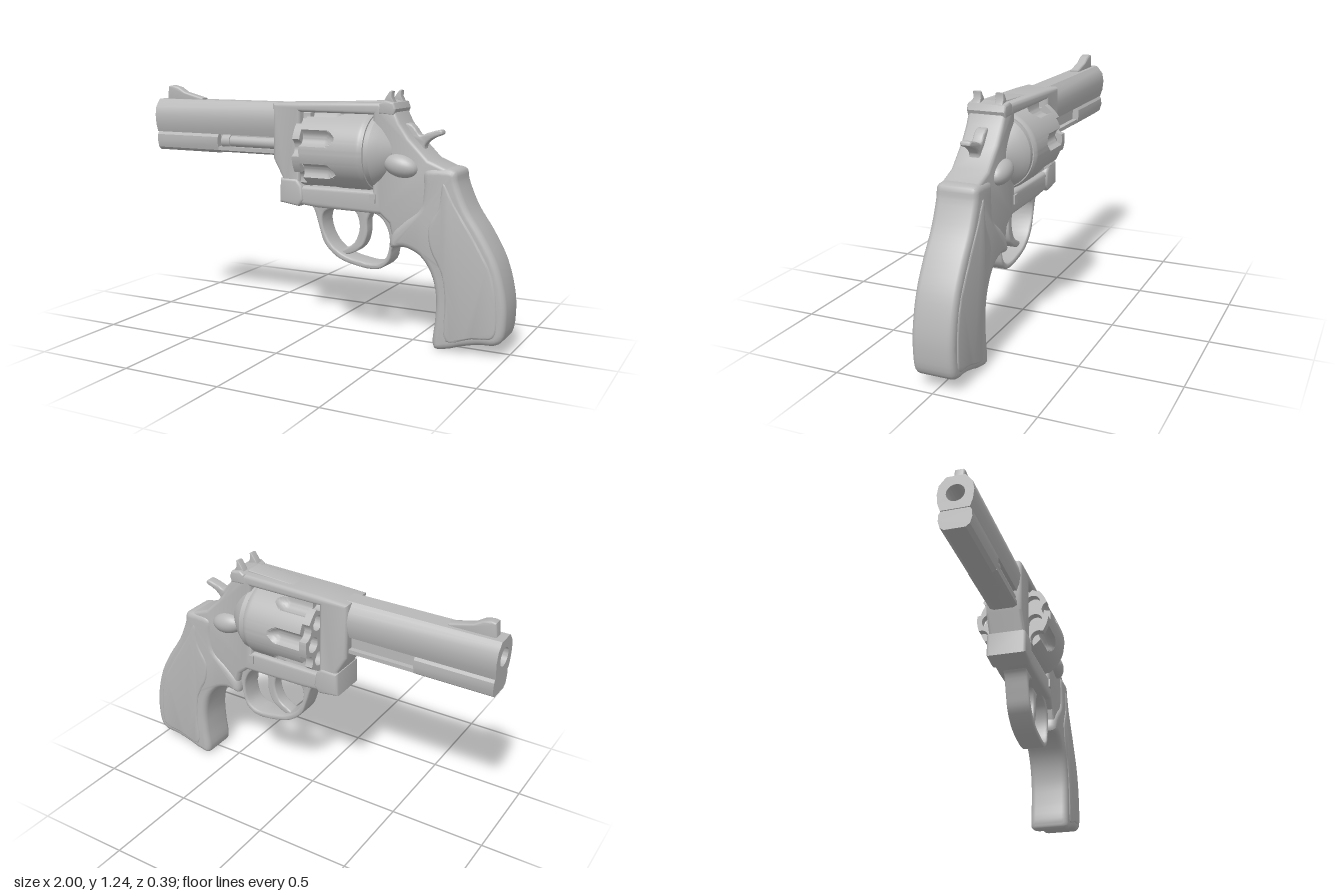
import * as THREE from 'three';
import { toCreasedNormals } from 'three/addons/utils/BufferGeometryUtils.js';

const steel = new THREE.MeshStandardMaterial({ color: 0xb8b8b8, side: THREE.DoubleSide });
steel.name = 'steel grey';

const vec = (pts) => pts.map(([x, y]) => new THREE.Vector2(x, y));

// Closed outline, optionally smoothed by a spline
function outline(pts, smooth, Type = THREE.Shape) {
  const v = vec(pts);
  if (!smooth) return new Type(v);
  const curve = new THREE.CatmullRomCurve3(v.map((p) => new THREE.Vector3(p.x, p.y, 0)), true, 'centripetal');
  return new Type(curve.getPoints(pts.length * 4).slice(0, -1).map((p) => new THREE.Vector2(p.x, p.y)));
}

// Side profile in x-y, thickened evenly about z = 0 with rounded edges
function slab(shape, half, bevel, segments = 3) {
  const geo = new THREE.ExtrudeGeometry(shape, {
    depth: 2 * (half - bevel), bevelEnabled: bevel > 0, bevelThickness: bevel,
    bevelSize: bevel, bevelOffset: -bevel, bevelSegments: segments, curveSegments: 20,
  });
  geo.translate(0, 0, bevel - half);
  return toCreasedNormals(geo, 0.6);
}

// Cross-section drawn as (z, y), swept along x from x0 to x1
function bar(shape, x0, x1) {
  const geo = new THREE.ExtrudeGeometry(shape, { depth: x1 - x0, bevelEnabled: false, curveSegments: 20 });
  geo.rotateY(Math.PI / 2).translate(x0, 0, 0);
  return toCreasedNormals(geo, 0.5);
}

// Half cross-section mirrored to both sides
const mirrored = (half) => [...half, ...half.slice().reverse().map(([z, y]) => [-z, y])];

function circleHole(x, y, r) {
  const p = new THREE.Path();
  p.absarc(x, y, r, 0, Math.PI * 2, true);
  return p;
}

export function createModel() {
  const model = new THREE.Group();
  const add = (name, geo, x = 0, y = 0, z = 0) => {
    const m = new THREE.Mesh(geo, steel);
    m.name = name;
    m.position.set(x, y, z);
    model.add(m);
    return m;
  };

  // Barrel with bore, and the lug below it
  const barrel = outline(mirrored([[0.07, 0.99], [0.083, 1.03], [0.088, 1.08], [0.08, 1.125], [0.06, 1.15], [0.045, 1.167]]));
  barrel.holes.push(circleHole(0, 1.075, 0.045));
  add('barrel', bar(barrel, -1, -0.2));
  const lug = mirrored([[0.05, 0.89], [0.07, 0.905], [0.08, 0.94], [0.078, 0.975], [0.062, 1.0]]);
  add('barrelLug', bar(outline(lug), -0.995, -0.6));
  add('lugStrip', bar(outline(mirrored([[0.05, 0.895], [0.072, 0.905], [0.072, 0.925]])), -0.6, -0.22));
  add('lugCore', new THREE.BoxGeometry(0.4, 0.11, 0.09), -0.41, 0.95);
  add('ejectorRod', new THREE.CylinderGeometry(0.03, 0.03, 0.32, 20).rotateZ(Math.PI / 2), -0.4, 0.953, 0.035);
  add('ejectorTip', new THREE.CylinderGeometry(0.036, 0.036, 0.05, 20).rotateZ(Math.PI / 2), -0.56, 0.953, 0.035);

  // Front sight ramp
  add('frontSight', slab(outline([[-0.965, 1.15], [-0.955, 1.235], [-0.93, 1.24], [-0.89, 1.23],
    [-0.85, 1.205], [-0.73, 1.175], [-0.73, 1.15]]), 0.025, 0.008));

  // Frame with the cylinder window
  const frame = outline([[-0.25, 1.165], [-0.1, 1.172], [0.34, 1.182], [0.42, 1.15], [0.45, 1.09], [0.5, 1.02],
    [0.6, 0.92], [0.7, 0.88], [0.7, 0.6], [0.52, 0.5], [0.42, 0.52], [0.4, 0.6], [0.35, 0.64], [0.0, 0.645],
    [-0.2, 0.665], [-0.2, 0.79], [-0.25, 0.88]]);
  frame.holes.push(outline([[-0.095, 0.75], [0.31, 0.75], [0.31, 1.125], [-0.095, 1.125]], false, THREE.Path));
  add('frame', slab(frame, 0.095, 0.018));
  add('crane', slab(outline([[-0.21, 0.66], [-0.1, 0.645], [-0.07, 0.68], [-0.08, 0.75], [-0.11, 0.785],
    [-0.205, 0.785]]), 0.103, 0.015));
  add('cylinderStop', new THREE.BoxGeometry(0.03, 0.045, 0.205), 0.315, 0.715);

  // Fluted cylinder
  const R = 0.194, axisY = 0.938, count = 7, step = (Math.PI * 2) / count, phase = 0.36;
  const fluteRadius = (angle, x) => {
    const d = Math.abs(((angle - phase) / step) - Math.round((angle - phase) / step)) * step;
    const end = THREE.MathUtils.clamp((0.14 - x) / 0.05, 0, 1);
    const width = 0.22 * Math.sqrt(end);
    return d < width ? R - 0.036 * Math.sqrt(1 - (d / width) ** 2) * Math.sqrt(end) : R;
  };
  const x0 = -0.085, plate = 0.04, x1 = 0.295;
  const drum = new THREE.CylinderGeometry(R, R, x1 - x0 - plate, 140, 36).rotateZ(Math.PI / 2);
  drum.translate((x0 + plate + x1) / 2, 0, 0);
  const p = drum.attributes.position;
  for (let i = 0; i < p.count; i++) {
    const y = p.getY(i), z = p.getZ(i), x = p.getX(i);
    if (Math.hypot(y, z) < 0.01) continue;
    const a = Math.atan2(y, z), r = fluteRadius(a, x) - Math.max(0, x - 0.275) * 0.5;
    p.setXYZ(i, x, r * Math.sin(a), r * Math.cos(a));
  }
  add('cylinder', toCreasedNormals(drum, 0.6), 0, axisY);

  // Front of the cylinder with open chambers
  const face = [];
  for (let i = 0; i < 140; i++) {
    const a = (i / 140) * Math.PI * 2, r = fluteRadius(a, x0);
    face.push([r * Math.cos(a), r * Math.sin(a)]);
  }
  const faceShape = outline(face);
  for (let i = 0; i < count; i++) {
    const a = phase + (i + 0.5) * step;
    faceShape.holes.push(circleHole(0.128 * Math.cos(a), 0.128 * Math.sin(a), 0.04));
  }
  add('cylinderFace', bar(faceShape, x0, x0 + plate), 0, axisY);
  add('cylinderPin', new THREE.CylinderGeometry(0.05, 0.05, 0.06, 24).rotateZ(Math.PI / 2), -0.09, axisY);

  // Recoil shield tapering into the frame
  const shield = new THREE.LatheGeometry(vec([[0, 0], [0.18, 0], [0.18, 0.025], [0.155, 0.06], [0.1, 0.115], [0, 0.13]]), 48);
  add('recoilShield', toCreasedNormals(shield.rotateZ(-Math.PI / 2), 0.6), 0.298, axisY);

  // Rear sight, its base strip and two ears
  add('sightStrip', slab(outline([[-0.1, 1.16], [0.1, 1.178], [0.35, 1.19], [0.35, 1.16]]), 0.05, 0.004));
  add('rearSightBase', slab(outline([[0.34, 1.13], [0.345, 1.18], [0.37, 1.195], [0.42, 1.185], [0.432, 1.155],
    [0.42, 1.125]]), 0.098, 0.01));
  for (const s of [-1, 1]) {
    add('rearSightEar', slab(outline([[0.355, 1.18], [0.37, 1.21], [0.392, 1.24], [0.402, 1.238], [0.4, 1.21],
      [0.415, 1.18]]), 0.02, 0.004), 0, 0, s * 0.057);
  }

  // Hammer with its spur
  add('hammer', slab(outline([[0.43, 1.0], [0.44, 1.075], [0.47, 1.085], [0.5, 1.065], [0.53, 1.03], [0.57, 1.043],
    [0.635, 1.057], [0.642, 1.04], [0.59, 1.015], [0.555, 0.98], [0.56, 0.92], [0.5, 0.9]], true), 0.027, 0.008));

  // Thumb latch on each side
  for (const s of [-1, 1]) {
    const latch = add('thumbLatch', new THREE.SphereGeometry(1, 24, 16), 0.46, 0.885, s * 0.09);
    latch.scale.set(0.09, 0.055, 0.052);
    latch.rotation.z = -0.2;
  }

  // Trigger guard and trigger
  const guard = outline([[-0.06, 0.67], [-0.03, 0.63], [0.0, 0.54], [0.03, 0.46], [0.1, 0.395], [0.2, 0.362],
    [0.33, 0.355], [0.39, 0.4], [0.415, 0.48], [0.5, 0.5], [0.48, 0.6], [0.4, 0.68], [0.15, 0.69]], true);
  guard.holes.push(outline([[0.02, 0.56], [0.06, 0.47], [0.13, 0.415], [0.22, 0.39], [0.32, 0.383], [0.37, 0.415],
    [0.39, 0.48], [0.385, 0.55], [0.34, 0.62], [0.25, 0.645], [0.1, 0.645], [0.03, 0.62]], true, THREE.Path));
  add('triggerGuard', slab(guard, 0.062, 0.01));
  add('trigger', slab(outline([[0.15, 0.68], [0.2, 0.62], [0.215, 0.55], [0.185, 0.47], [0.11, 0.42], [0.11, 0.405],
    [0.16, 0.41], [0.23, 0.455], [0.257, 0.52], [0.26, 0.6], [0.3, 0.68]], true), 0.035, 0.008));

  // Grip, with a slightly raised panel on each side
  add('grip', slab(outline([[0.58, 0.87], [0.66, 0.885], [0.735, 0.873], [0.748, 0.82], [0.8, 0.7], [0.88, 0.58],
    [0.95, 0.45], [0.99, 0.31], [1.0, 0.2], [0.985, 0.09], [0.95, 0.06], [0.87, 0.052], [0.78, 0.03], [0.72, 0.01],
    [0.65, 0.002], [0.637, 0.03], [0.647, 0.15], [0.648, 0.27], [0.62, 0.375], [0.56, 0.455], [0.48, 0.487],
    [0.41, 0.48], [0.415, 0.55], [0.48, 0.62], [0.56, 0.69], [0.575, 0.78]], true), 0.104, 0.03, 4));
  add('gripPanels', slab(outline([[0.68, 0.82], [0.74, 0.72], [0.85, 0.55], [0.93, 0.4], [0.96, 0.22], [0.945, 0.1],
    [0.84, 0.08], [0.71, 0.05], [0.7, 0.25], [0.68, 0.38], [0.62, 0.5], [0.61, 0.6], [0.66, 0.7]], true), 0.109, 0.012));

  return model;
}
